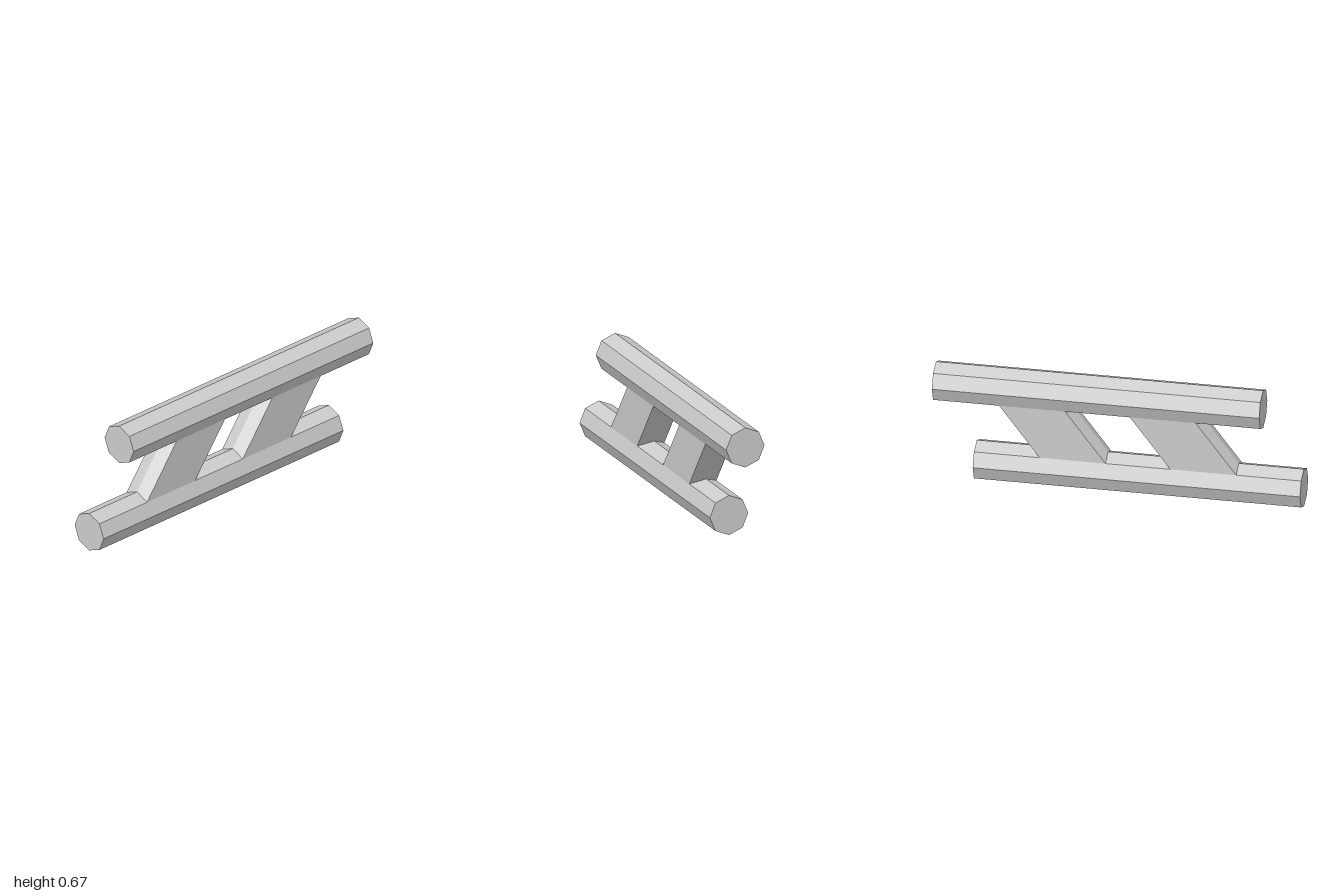
import * as THREE from 'three';

const RADIUS = 0.111;
const LOW_Y = RADIUS, HIGH_Y = 0.556;
const SLANT = -0.764; // z run per unit of height

export function createModel() {
  const group = new THREE.Group();
  const material = new THREE.MeshStandardMaterial({ color: 0xcccccc, flatShading: true });

  const add = (name, geometry, y, z) => {
    const mesh = new THREE.Mesh(geometry, material);
    mesh.name = name;
    mesh.position.set(0, y, z);
    group.add(mesh);
  };

  // Two octagonal rails, offset along z
  const rail = new THREE.CylinderGeometry(RADIUS, RADIUS, 1.778, 8).rotateX(Math.PI / 2);
  add('lowerRail', rail, LOW_Y, 0.111);
  add('upperRail', rail, HIGH_Y, -0.111);

  // Hexagonal strut section with ridged front and back, sheared to lean backwards
  const w = RADIUS * Math.SQRT1_2, d = 0.179, ridge = 0.202;
  const section = new THREE.Shape(
    [[0, -ridge], [w, -d], [w, d], [0, ridge], [-w, d], [-w, -d]]
      .map(([x, y]) => new THREE.Vector2(x, y)));
  const height = 0.36;
  const strut = new THREE.ExtrudeGeometry(section, { depth: height, bevelEnabled: false })
    .rotateX(-Math.PI / 2)
    .translate(0, -height / 2, 0);
  const shear = new THREE.Matrix4().set(
    1, 0, 0, 0,
    0, 1, 0, 0,
    0, SLANT, 1, 0,
    0, 0, 0, 1);
  strut.applyMatrix4(shear);
  strut.computeVertexNormals();

  // Struts joining the rails
  const midY = (LOW_Y + HIGH_Y) / 2;
  add('frontStrut', strut, midY, 0.358);
  add('backStrut', strut, midY, -0.352);

  return group;
}
